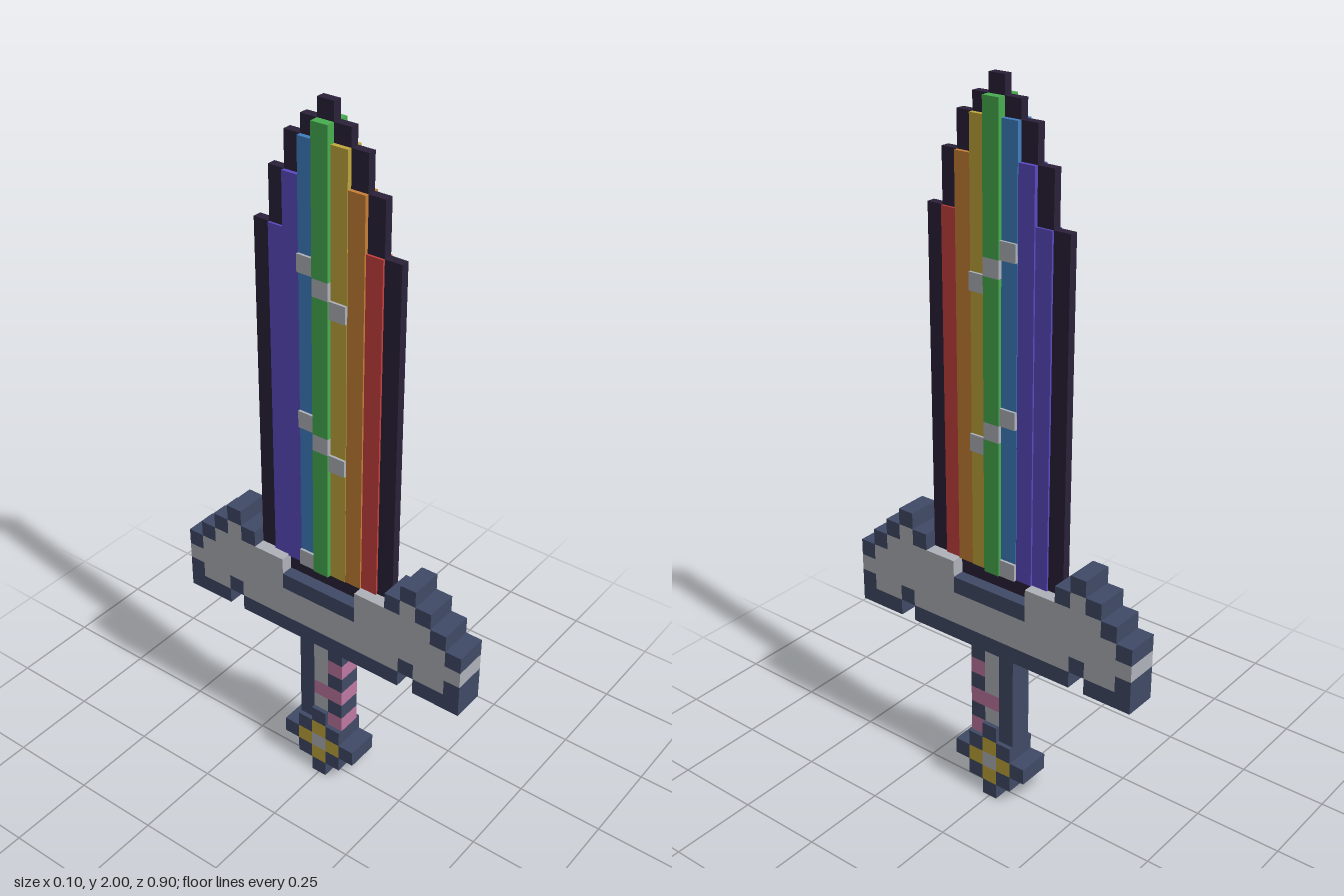
import * as THREE from 'three';

const U = 2 / 42; // size of one cell

const mat = (name, color) => {
  const m = new THREE.MeshStandardMaterial({ color });
  m.name = name;
  return m;
};

export function createModel() {
  const M = {
    dark: mat('dark edge', 0x2b2139),
    navy: mat('navy', 0x414b67),
    grey: mat('light grey', 0xb0b3ba),
    red: mat('red', 0xc8413f),
    orange: mat('orange', 0xc87f36),
    yellow: mat('yellow', 0xc2a83d),
    green: mat('green', 0x48ae50),
    blue: mat('blue', 0x4080c2),
    purple: mat('purple', 0x5c4ac2),
    pink: mat('pink', 0xc179a4),
  };
  const root = new THREE.Group();
  root.name = 'sword';
  const part = (name) => {
    const g = new THREE.Group();
    g.name = name;
    root.add(g);
    return g;
  };
  // Block covering columns c0..c1 along z and rows r0 up to r1, with half thickness h in x
  const block = (group, name, m, c0, c1, r0, r1, h) => {
    const mesh = new THREE.Mesh(new THREE.BoxGeometry(2 * h, (r1 - r0) * U, (c1 - c0 + 1) * U), M[m]);
    mesh.position.set(0, ((r0 + r1) / 2) * U, ((c0 + c1) / 2) * U);
    mesh.name = name;
    group.add(mesh);
  };
  const mirrored = (group, name, m, c0, c1, r0, r1, h) => {
    block(group, name, m, c0, c1, r0, r1, h);
    block(group, name, m, -c1, -c0, r0, r1, h);
  };

  // Blade: coloured stripes, each [colour, column, top row, half thickness]
  const blade = part('blade');
  const stripes = [
    ['red', 3, 35, 0.018], ['orange', 2, 38, 0.023], ['yellow', 1, 40, 0.025],
    ['blue', -1, 40, 0.025], ['purple', -2, 38, 0.023], ['purple', -3, 35, 0.018],
  ];
  for (const [m, c, top, h] of stripes) block(blade, m + 'Stripe', m, c, c, 15, top, h);
  for (const [r0, r1] of [[15, 23], [24, 32], [33, 41]]) block(blade, 'greenStripe', 'green', 0, 0, r0, r1, 0.036);

  // Thin dark edge, stepping up to the tip
  mirrored(blade, 'bladeEdge', 'dark', 4, 4, 15, 35, 0.012);
  mirrored(blade, 'bladeEdge', 'dark', 3, 3, 35, 38, 0.012);
  mirrored(blade, 'bladeEdge', 'dark', 2, 2, 38, 40, 0.012);
  mirrored(blade, 'bladeEdge', 'dark', 1, 1, 40, 41, 0.012);
  block(blade, 'bladeTip', 'dark', 0, 0, 41, 42, 0.012);
  block(blade, 'bladeRoot', 'dark', -2, 2, 14, 15, 0.012);

  // Glints running diagonally across the blade
  for (const r of [22, 31]) {
    for (let i = 0; i < 3; i++) block(blade, 'glint', 'grey', 1 - i, 1 - i, r + i, r + i + 1, i === 1 ? 0.036 : 0.032);
  }
  block(blade, 'glint', 'grey', -1, -1, 15, 16, 0.032);

  // Guard: grey body with a stepped navy rim
  const guard = part('guard');
  const G = U;
  block(guard, 'guardBody', 'grey', -9, 9, 12, 13, G);
  block(guard, 'guardBody', 'grey', -5, 5, 11, 12, G);
  block(guard, 'guardCentre', 'navy', -2, 2, 13, 14, G);
  block(guard, 'guardUnderside', 'navy', -5, 5, 10, 11, G);
  mirrored(guard, 'guardBody', 'grey', 7, 8, 11, 12, G);
  mirrored(guard, 'guardBody', 'grey', 3, 8, 13, 14, G);
  mirrored(guard, 'guardBody', 'grey', 3, 7, 14, 15, G);
  mirrored(guard, 'guardBody', 'grey', 6, 6, 15, 16, G);
  const rim = [[5, 5, 15], [6, 6, 16], [7, 7, 15], [8, 8, 14], [9, 9, 13], [9, 9, 11], [7, 9, 10], [6, 6, 11]];
  for (const [c0, c1, r] of rim) mirrored(guard, 'guardRim', 'navy', c0, c1, r, r + 1, G);

  // Grip: striped front, grey middle and navy back
  const grip = part('grip');
  const H = 0.035;
  for (let r = 4; r < 10; r++) {
    block(grip, 'gripWrap', r % 2 ? 'navy' : 'pink', 1, 1, r, r + 1, H);
    if (r > 4) block(grip, 'gripMiddle', r === 6 ? 'pink' : 'grey', 0, 0, r, r + 1, H);
  }
  block(grip, 'gripBack', 'navy', -1, -1, 4, 10, H);

  // Pommel: navy diamond with a yellow cross and grey centre
  const pommel = part('pommel');
  block(pommel, 'pommelTop', 'navy', 0, 0, 4, 5, G);
  block(pommel, 'pommelTip', 'navy', 0, 0, 0, 1, G);
  mirrored(pommel, 'pommelSide', 'navy', 2, 2, 2, 3, G);
  mirrored(pommel, 'pommelCorner', 'navy', 1, 1, 3, 4, G);
  mirrored(pommel, 'pommelCorner', 'navy', 1, 1, 1, 2, G);
  mirrored(pommel, 'pommelCross', 'yellow', 1, 1, 2, 3, G);
  block(pommel, 'pommelCross', 'yellow', 0, 0, 3, 4, G);
  block(pommel, 'pommelCross', 'yellow', 0, 0, 1, 2, G);
  block(pommel, 'pommelGem', 'grey', 0, 0, 2, 3, G);

  return root;
}
